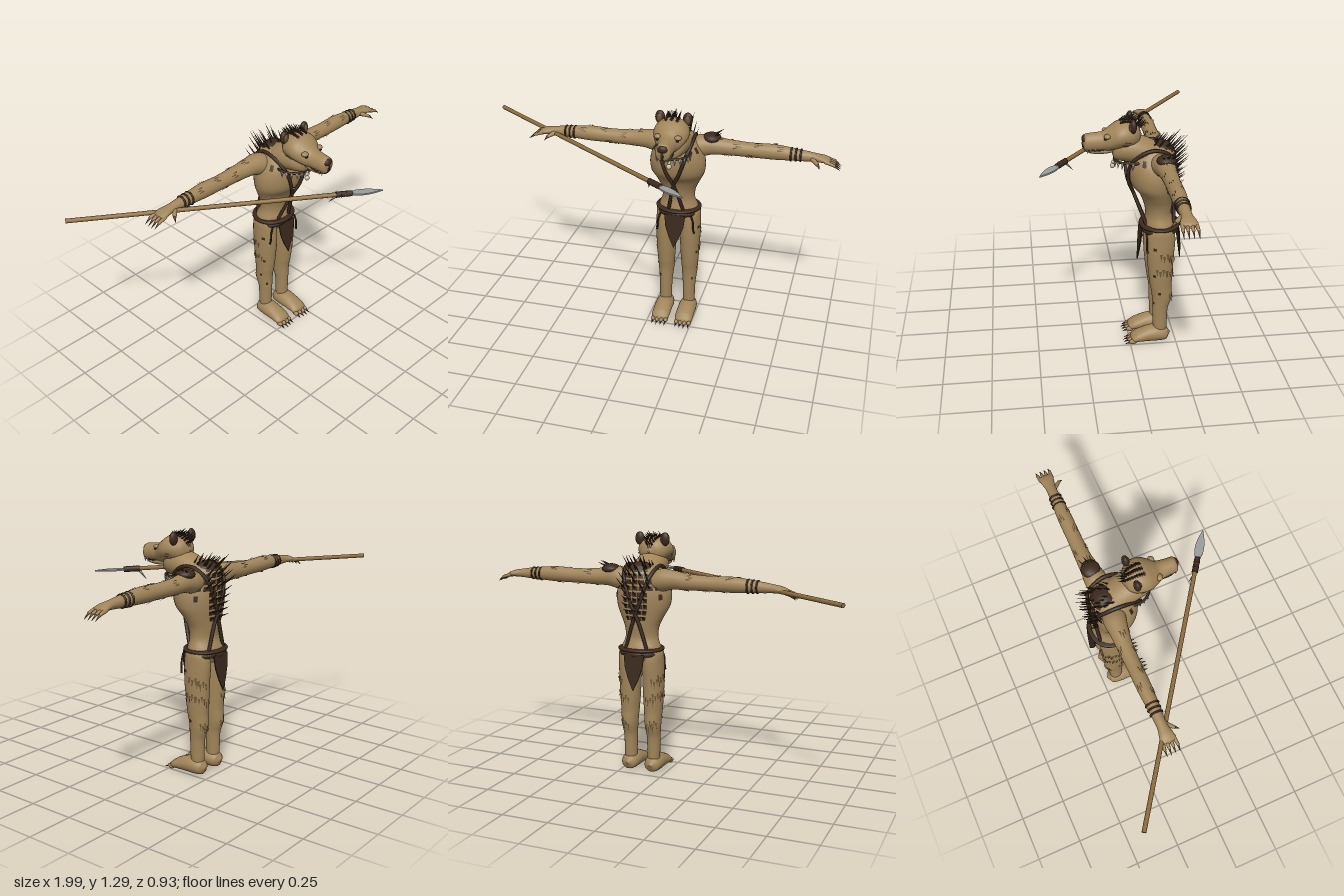
import * as THREE from 'three';
import { mergeGeometries } from 'three/addons/utils/BufferGeometryUtils.js';

const V = (p) => new THREE.Vector3(...p);
const TAU = Math.PI * 2;

// Surface swept along one axis; section = [t, u, v, ru, rv], t increasing.
// axis y: u=z, v=x | axis x: u=y, v=z | axis z: u=x, v=y
function surface(axis, secs) {
  const cr = (a, b, c, d, f) => b + 0.5 * f * (c - a + f * (2 * a - 5 * b + 4 * c - d + f * (3 * (b - c) + d - a)));
  const at = (t, ang, off = 0) => {
    let i = 0;
    while (i < secs.length - 2 && t > secs[i + 1][0]) i++;
    const f = THREE.MathUtils.clamp((t - secs[i][0]) / (secs[i + 1][0] - secs[i][0]), 0, 1);
    const S = (k) => secs[THREE.MathUtils.clamp(k, 0, secs.length - 1)];
    const q = [1, 2, 3, 4].map((k) => cr(S(i - 1)[k], S(i)[k], S(i + 1)[k], S(i + 2)[k], f));
    const u = q[0] + (Math.max(q[2], 0.001) + off) * Math.cos(ang);
    const v = q[1] + (Math.max(q[3], 0.001) + off) * Math.sin(ang);
    return axis === 'y' ? [v, t, u] : axis === 'x' ? [t, u, v] : [u, v, t];
  };
  const geometry = (n = 28, sub = 4) => {
    const pos = [], idx = [], ts = [];
    secs.forEach((s, i) => {
      if (i === secs.length - 1) ts.push(s[0]);
      else for (let k = 0; k < sub; k++) ts.push(s[0] + (secs[i + 1][0] - s[0]) * k / sub);
    });
    ts.forEach((t, i) => {
      for (let j = 0; j < n; j++) {
        pos.push(...at(t, j / n * TAU));
        if (i === ts.length - 1) continue;
        const a = i * n + j, b = i * n + (j + 1) % n;
        idx.push(a, b, a + n, b, b + n, a + n);
      }
    });
    return build(pos, idx);
  };
  return { at, geometry };
}

function build(pos, idx) {
  const g = new THREE.BufferGeometry();
  g.setAttribute('position', new THREE.Float32BufferAttribute(pos, 3));
  if (idx) g.setIndex(idx);
  g.computeVertexNormals();
  return g;
}

// Tapered rod between two points
function rod(a, b, r0, r1, n = 8) {
  const d = V(b).sub(V(a));
  const g = new THREE.CylinderGeometry(r1, r0, d.length(), n);
  g.applyQuaternion(new THREE.Quaternion().setFromUnitVectors(V([0, 1, 0]), d.clone().normalize()));
  const m = V(a).addScaledVector(d, 0.5);
  return g.translate(m.x, m.y, m.z);
}
const ball = (p, r) => new THREE.SphereGeometry(1, 18, 12).scale(...r).translate(...p);
const tube = (pts, r) => new THREE.TubeGeometry(new THREE.CatmullRomCurve3(pts.map(V)), 40, r, 8);

// Thin curved plate lying on a surface
function patch(s, t0, t1, a0, a1, off) {
  const pos = [], idx = [];
  for (let i = 0; i <= 4; i++) for (let j = 0; j <= 4; j++) {
    pos.push(...s.at(t0 + (t1 - t0) * i / 4, a0 + (a1 - a0) * j / 4, off));
    if (i < 4 && j < 4) { const k = i * 5 + j; idx.push(k, k + 1, k + 5, k + 1, k + 6, k + 5); }
  }
  return build(pos, idx);
}
// Cluster of pointed fur locks lying on a surface
function tuft(s, t, ang, len, spread, n = 4) {
  const pos = [];
  for (let i = 0; i < n; i++) {
    const a = ang + (i - (n - 1) / 2) * spread, o = (i % 2) * len * 0.35;
    pos.push(...s.at(t + o, a - spread * 0.45, 0.002), ...s.at(t + o, a + spread * 0.45, 0.002), ...s.at(t + o + len, a, 0.007));
  }
  return build(pos);
}

export function createModel() {
  const mat = (name, color, side = THREE.FrontSide) => Object.assign(new THREE.MeshStandardMaterial({ color, side }), { name });
  const hide = mat('tan hide', 0xa1855a), fur = mat('olive fur', 0x66512f, THREE.DoubleSide);
  const dark = mat('dark brown', 0x3b291d, THREE.DoubleSide), wood = mat('spear wood', 0x8d6d3f);
  const steel = mat('grey stone', 0x9b9c9c), bone = mat('bone', 0xc9c0a8), black = mat('black', 0x17110d);
  const model = new THREE.Group(), body = new THREE.Group();
  model.name = 'spearBeast';
  body.name = 'body';
  body.position.x = 0.14;
  model.add(body);
  const add = (name, geo, m, parent = body) => {
    const mesh = new THREE.Mesh(Array.isArray(geo) ? mergeGeometries(geo) : geo, m);
    mesh.name = name;
    parent.add(mesh);
    return mesh;
  };
  let seed = 7;
  const rnd = () => (seed = (seed * 16807) % 2147483647) / 2147483647;

  // Torso, neck, head
  const torso = surface('y', [[0.60, -0.165, 0, 0.01, 0.01], [0.62, -0.165, 0, 0.07, 0.1], [0.68, -0.165, 0, 0.085, 0.11],
    [0.74, -0.158, 0, 0.068, 0.09], [0.8, -0.155, 0, 0.075, 0.095], [0.86, -0.145, 0, 0.09, 0.122], [0.91, -0.128, 0, 0.113, 0.145],
    [0.97, -0.122, 0, 0.122, 0.15], [1.03, -0.12, 0, 0.12, 0.135], [1.08, -0.125, 0, 0.112, 0.105], [1.12, -0.13, 0, 0.08, 0.07], [1.14, -0.13, 0, 0.004, 0.004]]);
  add('torso', torso.geometry(36), hide);
  const neck = surface('z', [[-0.2, 0, 1.05, 0.01, 0.01], [-0.15, 0, 1.06, 0.08, 0.07], [-0.05, 0, 1.1, 0.085, 0.075],
    [0.03, 0, 1.11, 0.075, 0.068], [0.075, 0, 1.1, 0.05, 0.045], [0.09, 0, 1.1, 0.003, 0.003]]);
  add('neck', neck.geometry(), hide);
  const head = surface('z', [[-0.065, 0, 1.18, 0.004, 0.004], [-0.05, 0, 1.18, 0.05, 0.045], [-0.02, 0, 1.185, 0.08, 0.065],
    [0.02, 0, 1.187, 0.092, 0.07], [0.06, 0, 1.18, 0.09, 0.068], [0.1, 0, 1.163, 0.07, 0.06], [0.13, 0, 1.152, 0.05, 0.05],
    [0.18, 0, 1.148, 0.042, 0.048], [0.222, 0, 1.146, 0.037, 0.043], [0.235, 0, 1.146, 0.004, 0.004]]);
  add('head', head.geometry(), hide);
  add('lowerJaw', ball([0, 1.103, 0.14], [0.035, 0.018, 0.08]), hide);
  add('nose', [ball([0, 1.167, 0.222], [0.027, 0.02, 0.016]), ball([0, 1.14, 0.23], [0.008, 0.025, 0.007])], dark);
  add('mouth', ball([0, 1.111, 0.165], [0.04, 0.006, 0.064]), dark);
  const brows = [], eyes = [], ears = [], inner = [], fangs = [];
  for (const s of [-1, 1]) {
    brows.push(ball([s * 0.052, 1.19, 0.112], [0.02, 0.012, 0.018]));
    eyes.push(ball([s * 0.052, 1.178, 0.122], [0.009, 0.007, 0.008]));
    ears.push(ball([s * 0.073, 1.245, -0.015], [0.026, 0.036, 0.018]));
    inner.push(ball([s * 0.073, 1.243, -0.003], [0.015, 0.024, 0.01]));
    for (const z of [0.17, 0.195, 0.212]) fangs.push(rod([s * 0.032, 1.12, z], [s * 0.031, 1.096, z], 0.005, 0.0005));
  }
  add('brows', brows, hide);
  add('eyes', eyes, black);
  add('ears', ears, dark);
  add('innerEars', inner, fur);
  add('fangs', fangs, bone);

  // Mane plates and quills down the back, crest on the skull
  const plates = [], quills = [];
  for (let r = 0; r < 9; r++) for (let c = -2; c <= 2; c++) {
    const y = 0.84 + r * 0.032, w = r > 4 ? 0.24 : 0.16, a = Math.PI + c * w * 1.15;
    plates.push(patch(torso, y, y + 0.023, a - w * 0.5, a + w * 0.5, 0.005));
    const p = torso.at(y + 0.012, a), len = 0.035 + 0.03 * rnd() + (r > 4 ? 0.025 : 0), k = 0.35 + r * 0.07;
    if (r % 2 || c % 2 === 0) quills.push(rod(p, [p[0] * 1.12, p[1] + len * k, p[2] - len * 0.85], 0.005, 0.0004, 5));
  }
  for (let r = 0; r < 9; r++) for (let c = -1; c <= 1; c++) {
    const z = 0.045 - r * 0.012, a = Math.PI / 2 + c * 0.32, p = head.at(z, a, -0.003);
    plates.push(patch(head, z - 0.009, z, a - 0.11, a + 0.11, 0.003));
    quills.push(rod(p, [p[0] * 1.2, p[1] + 0.022 + 0.015 * rnd(), p[2] - 0.025 - r * 0.002], 0.005, 0.0004, 5));
  }
  for (let i = 0; i < 14; i++) {
    const x = (rnd() - 0.5) * 0.11, z = -0.1 - 0.1 * rnd();
    quills.push(rod([x, 1.11, z], [x * 1.2, 1.155 + 0.03 * rnd(), z - 0.05], 0.006, 0.0004, 5));
  }
  add('manePlates', plates, dark);
  add('maneQuills', quills, dark);
  add('maneRidge', ball([0, 1.105, -0.165], [0.068, 0.036, 0.06]), dark);

  const tufts = [tuft(head, 0.04, -0.6, -0.035, 0.2), tuft(head, 0.04, Math.PI + 0.6, -0.035, 0.2)], spots = [];
  for (const s of [-1, 1]) {
    const side = s > 0 ? 'left' : 'right', X = (x) => s * x;
    // Arm with hand and claws
    const armSecs = [[0.05, 1.04, 0.05, 0.06, -0.15], [0.12, 1.05, 0.06, 0.06, -0.16], [0.18, 1.055, 0.05, 0.05, -0.165],
      [0.26, 1.05, 0.043, 0.042, -0.17], [0.38, 1.048, 0.039, 0.038, -0.17], [0.5, 1.05, 0.041, 0.038, -0.17], [0.6, 1.048, 0.034, 0.032, -0.17],
      [0.68, 1.045, 0.027, 0.027, -0.17], [0.72, 1.043, 0.022, 0.028, -0.17], [0.76, 1.04, 0.018, 0.037, -0.17], [0.79, 1.033, 0.013, 0.036, -0.17], [0.8, 1.03, 0.002, 0.002, -0.17]]
      .map(([x, y, ry, rz, z]) => [X(x), y, z, ry, rz]);
    if (s < 0) armSecs.reverse();
    const arm = surface('x', armSecs);
    add(side + 'Arm', arm.geometry(24), hide);
    const fingers = [], claws = [];
    for (let i = 0; i < 4; i++) {
      const z = -0.17 + (i - 1.5) * 0.02, z2 = -0.17 + (i - 1.5) * 0.023;
      fingers.push(rod([X(0.77), 1.036, z], [X(0.815), 1.022, z2], 0.011, 0.008), ball([X(0.815), 1.022, z2], [0.008, 0.008, 0.008]));
      claws.push(rod([X(0.815), 1.022, z2], [X(0.85), 0.997, z2], 0.007, 0.0005));
    }
    fingers.push(rod([X(0.7), 1.04, -0.155], [X(0.735), 1.025, -0.115], 0.014, 0.009));
    claws.push(rod([X(0.735), 1.025, -0.115], [X(0.748), 1.01, -0.093], 0.008, 0.0005));
    add(side + 'Fingers', fingers, hide);
    add(side + 'Claws', claws, fur);
    // Forearm bands
    add(side + 'ArmBands', [0.592, 0.617, 0.642].map((x) => new THREE.TorusGeometry(0.0335 - (x - 0.592) * 0.06, 0.005, 8, 24)
      .rotateY(Math.PI / 2).translate(X(x), 1.047, -0.17)), dark);
    for (const [x, a] of [[0.2, 0.2], [0.27, -0.9], [0.29, 1], [0.37, 2.2], [0.4, 0.5], [0.48, -0.6], [0.52, 0.8], [0.24, 3.2], [0.34, 3], [0.45, 3.6]])
      tufts.push(tuft(arm, X(x), a, X(0.035), 0.25, 3));

    // Leg, foot, toes
    const cx = X(0.0675);
    const leg = surface('y', [[0.04, -0.165, 0.035, 0.032], [0.1, -0.165, 0.038, 0.034], [0.2, -0.165, 0.042, 0.036], [0.26, -0.173, 0.052, 0.042],
      [0.3, -0.172, 0.055, 0.045], [0.34, -0.167, 0.058, 0.048], [0.4, -0.165, 0.064, 0.052], [0.52, -0.162, 0.072, 0.057],
      [0.62, -0.165, 0.075, 0.056], [0.68, -0.165, 0.06, 0.05], [0.7, -0.165, 0.003, 0.003]].map(([y, z, rz, rx]) => [y, z, cx, rz, rx]));
    add(side + 'Leg', leg.geometry(), hide);
    const foot = surface('z', [[-0.222, 0.045, 0.004, 0.004], [-0.2, 0.043, 0.04, 0.037], [-0.15, 0.047, 0.05, 0.046], [-0.1, 0.044, 0.05, 0.043],
      [-0.04, 0.033, 0.05, 0.031], [-0.012, 0.023, 0.042, 0.021], [0, 0.02, 0.004, 0.004]].map(([z, y, rx, ry]) => [z, cx, y, rx, ry]));
    add(side + 'Foot', foot.geometry(), hide);
    const toes = [], nails = [];
    for (let i = 0; i < 4; i++) {
      const x = cx + (i - 1.5) * 0.024, z = -0.005 - Math.abs(i - 1.5) * 0.006;
      toes.push(ball([x, 0.016, z], [0.012, 0.014, 0.022]));
      nails.push(rod([x, 0.015, z + 0.014], [x, 0.004, z + 0.043], 0.007, 0.0005));
    }
    add(side + 'Toes', toes, hide);
    add(side + 'ToeNails', nails, dark);
    const out = X(Math.PI / 2);
    for (const [y, a] of [[0.55, 0.3], [0.53, 0.9], [0.46, 0], [0.45, 0.8], [0.43, 1.5], [0.3, 1.1], [0.28, 1.5]])
      tufts.push(tuft(leg, y, out + X(a), -0.035, 0.24));
    for (const [y, a] of [[0.57, -0.5], [0.41, -0.6], [0.235, -1], [0.3, -0.3]])
      spots.push(patch(leg, y, y + 0.016, out + X(a) - 0.13, out + X(a) + 0.13, 0.003));
    for (const [y, a] of [[1.0, 2.3], [0.95, 2.2], [1.04, 1.1]]) spots.push(patch(torso, y, y + 0.03, X(a) - 0.08, X(a) + 0.08, 0.004));

    // Crossed harness strap, front and back
    add(side + 'HarnessStrap', tube([[X(-0.04), 0.69, -0.09], [X(0), 0.86, -0.026], [X(0.035), 0.94, 0.004], [X(0.065), 1.03, 0.002], [X(0.088), 1.1, -0.06],
      [X(0.09), 1.118, -0.14], [X(0.07), 1.06, -0.225], [X(0.02), 0.92, -0.243], [X(-0.02), 0.82, -0.236], [X(-0.06), 0.69, -0.232]], 0.0095), dark);
    // Cord hanging from the belt
    add(side + 'BeltCord', tube([[X(0.085), 0.66, -0.085], [X(0.098), 0.62, -0.085], [X(0.1), 0.58, -0.085], [X(0.105), 0.555, -0.088]], 0.005), dark);
  }
  add('furTufts', tufts, fur);
  add('furSpots', spots, dark);

  // Belt and loincloth
  const ring = (y, h, rz, rx) => surface('y', [[y, -0.165, 0, rz - 0.02, rx - 0.02], [y + h * 0.2, -0.165, 0, rz, rx], [y + h * 0.8, -0.165, 0, rz, rx], [y + h, -0.165, 0, rz - 0.02, rx - 0.02]]).geometry(40);
  add('belt', [ring(0.646, 0.03, 0.1, 0.117), ring(0.672, 0.02, 0.107, 0.123)], dark);
  const cloth = new THREE.Shape([[-0.058, 0], [0.058, 0], [0.05, -0.07], [0.03, -0.13], [0, -0.195], [-0.03, -0.13], [-0.05, -0.07]].map((p) => new THREE.Vector2(...p)));
  for (const [name, z, tilt] of [['frontLoincloth', -0.068, -0.09], ['backLoincloth', -0.264, 0.09]]) {
    const flap = add(name, new THREE.ExtrudeGeometry(cloth, { depth: 0.006, bevelEnabled: false }), dark);
    flap.position.set(0, 0.665, z);
    flap.rotation.x = tilt;
  }

  // Necklace
  const loop = (a) => [Math.sin(a) * 0.088, 1.052, -0.02 + Math.cos(a) * 0.092];
  add('necklaceCord', tube(Array.from({ length: 17 }, (_, i) => loop(-2 + i * 0.25)), 0.007), dark);
  const teeth = [], stones = [];
  for (let i = -5; i <= 5; i++) {
    const [x, y, z] = loop(i * 0.3);
    (i % 2 ? stones : teeth).push(rod([x, y, z], [x * 1.05, y - 0.033, z + 0.005], 0.009, 0.001));
  }
  teeth.push(ball([0, 1.015, 0.083], [0.014, 0.014, 0.012]), ball([0, 1.036, 0.08], [0.009, 0.009, 0.009]));
  add('necklaceTeeth', teeth, bone);
  add('necklaceStones', stones, steel);

  // Pad on the left shoulder
  add('shoulderPad', ball([0.17, 1.096, -0.168], [0.05, 0.027, 0.05]), dark);
  add('padQuills', [-1, 0, 1].map((i) => rod([0.185, 1.11, -0.17 + i * 0.02], [0.225, 1.14 - Math.abs(i) * 0.008, -0.18 + i * 0.03], 0.006, 0.0005)), dark);

  // Spear
  const spear = new THREE.Group();
  spear.name = 'spear';
  model.add(spear);
  const on = (x, y = 1.035) => [x, y, -0.46 + (x + 1) * 0.7077];
  add('spearShaft', rod(on(-0.995), on(0.17), 0.0115, 0.0115, 14), wood, spear);
  add('spearBinding', [0.1, 0.122, 0.144].map((x) => rod(on(x), on(x + 0.025), 0.0165, 0.0145, 12)), dark, spear);
  add('spearFeather', rod(on(0.1, 1.025), [0.085, 0.978, 0.28], 0.007, 0.0005), steel, spear);
  const leaf = new THREE.Shape();
  leaf.moveTo(0, -0.01);
  leaf.quadraticCurveTo(0.05, -0.042, 0.165, 0);
  leaf.quadraticCurveTo(0.05, 0.042, 0, 0.01);
  const blade = add('spearBlade', new THREE.ExtrudeGeometry(leaf, { depth: 0.008, bevelEnabled: false }).rotateX(Math.PI / 2), steel, spear);
  blade.position.set(...on(0.165, 1.039));
  blade.rotation.y = -Math.atan2(0.7077, 1);
  return model;
}
